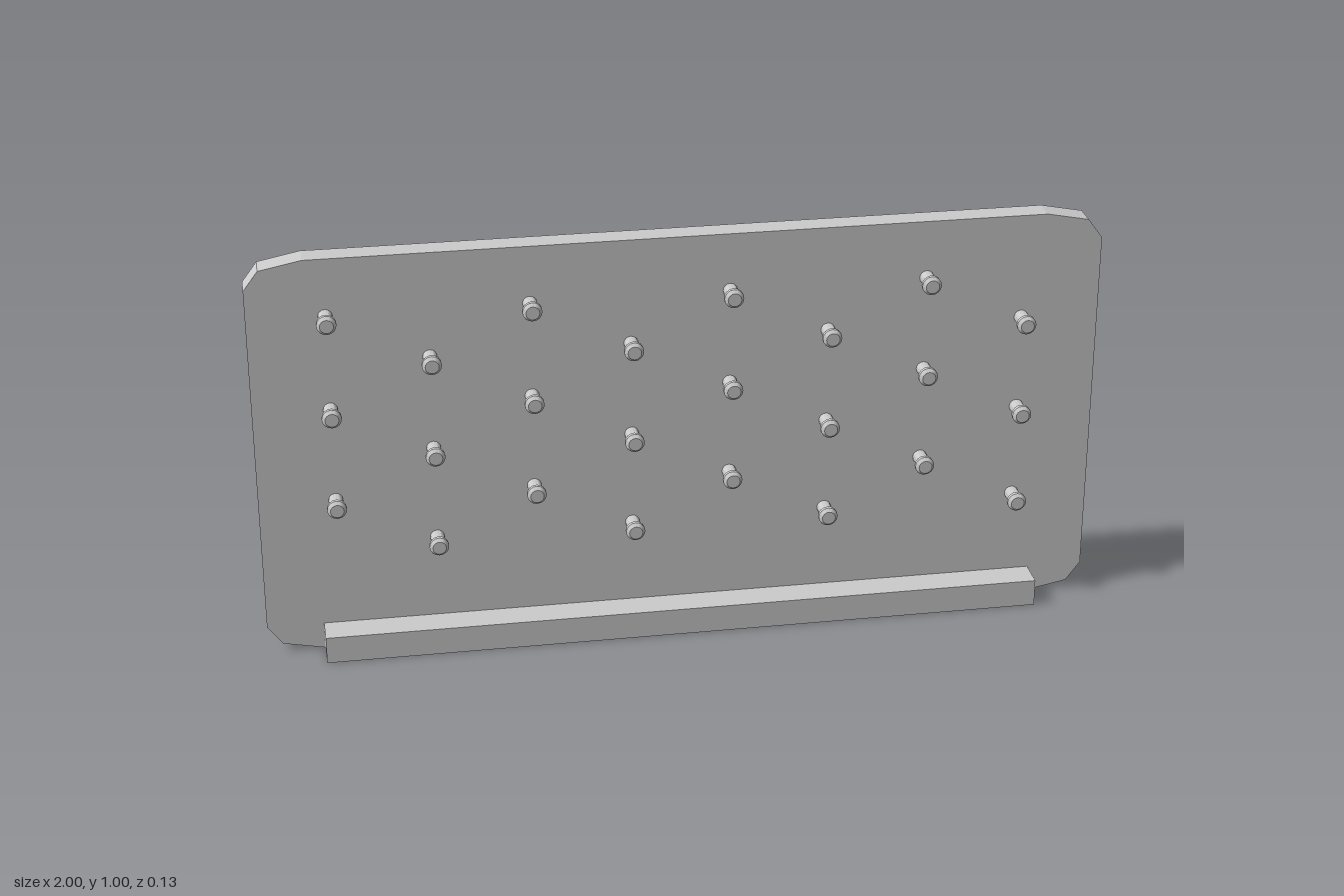
import * as THREE from 'three';
import { toCreasedNormals } from 'three/addons/utils/BufferGeometryUtils.js';

const FRONT = -0.008, BACK = -0.067, LEDGE_FRONT = 0.067;
const LEDGE_X = 0.865, LEDGE_Y = 0.067;

const material = new THREE.MeshStandardMaterial({ color: 0xcccccc, side: THREE.DoubleSide, flatShading: true });
const pegMaterial = new THREE.MeshStandardMaterial({ color: 0xcccccc, side: THREE.DoubleSide });

function addMesh(parent, name, geometry, mat = material) {
  const mesh = new THREE.Mesh(geometry, mat);
  mesh.name = name;
  parent.add(mesh);
  return mesh;
}

// Open strip of quads following a path of [x, y] points between two depths
function wall(path, zFront, zBack) {
  const pos = [];
  for (let i = 0; i < path.length - 1; i++) {
    const [ax, ay] = path[i], [bx, by] = path[i + 1];
    pos.push(ax, ay, zBack, bx, by, zBack, bx, by, zFront);
    pos.push(ax, ay, zBack, bx, by, zFront, ax, ay, zFront);
  }
  const g = new THREE.BufferGeometry();
  g.setAttribute('position', new THREE.Float32BufferAttribute(pos, 3));
  g.computeVertexNormals();
  return g;
}

export function createModel() {
  const group = new THREE.Group();
  group.name = 'pegBoard';

  // Outline with faceted corners, counter-clockwise from bottom right
  const right = [[LEDGE_X, 0], [0.965, 0.02], [1, 0.067], [1, 0.933], [0.965, 0.98], [LEDGE_X, 1]];
  const left = right.map(([x, y]) => [-x, y]).reverse();
  const outline = [...right, ...left];

  // Front sheet, cut away behind the hollow ledge
  const cut = [[-LEDGE_X, LEDGE_Y], [LEDGE_X, LEDGE_Y]];
  const sheet = new THREE.Shape([...outline, ...cut].map(([x, y]) => new THREE.Vector2(x, y)));
  addMesh(group, 'frontSheet', new THREE.ShapeGeometry(sheet)).position.z = FRONT;

  // Rim around the sheet, open at the back
  addMesh(group, 'rim', wall([...outline, outline[0]], FRONT, BACK));

  // Hollow ledge along the bottom edge, open towards the back
  const ledge = new THREE.Group();
  ledge.name = 'ledge';
  group.add(ledge);
  const ledgePath = [[-LEDGE_X, 0], [LEDGE_X, 0], [LEDGE_X, LEDGE_Y], [-LEDGE_X, LEDGE_Y], [-LEDGE_X, 0]];
  addMesh(ledge, 'ledgeWalls', wall(ledgePath, LEDGE_FRONT, FRONT));
  addMesh(ledge, 'ledgeFront', new THREE.PlaneGeometry(2 * LEDGE_X, LEDGE_Y))
    .position.set(0, LEDGE_Y / 2, LEDGE_FRONT);

  // Pegs with a chamfered head, in six staggered rows
  const profile = [[0.017, 0], [0.017, 0.042], [0.023, 0.044], [0.023, 0.053], [0.016, 0.061], [0, 0.061]]
    .map(([r, h]) => new THREE.Vector2(r, h));
  const pegGeometry = toCreasedNormals(new THREE.LatheGeometry(profile, 16).rotateX(Math.PI / 2), 0.5);
  const pegs = new THREE.Group();
  pegs.name = 'pegs';
  group.add(pegs);
  for (let row = 0; row < 6; row++) {
    for (let col = 0; col < 4; col++) {
      const x = -0.82 + col * 0.4667 + (row % 2) * 0.2333;
      addMesh(pegs, 'peg', pegGeometry, pegMaterial).position.set(x, 0.86 - row * 0.1167, FRONT);
    }
  }
  return group;
}
